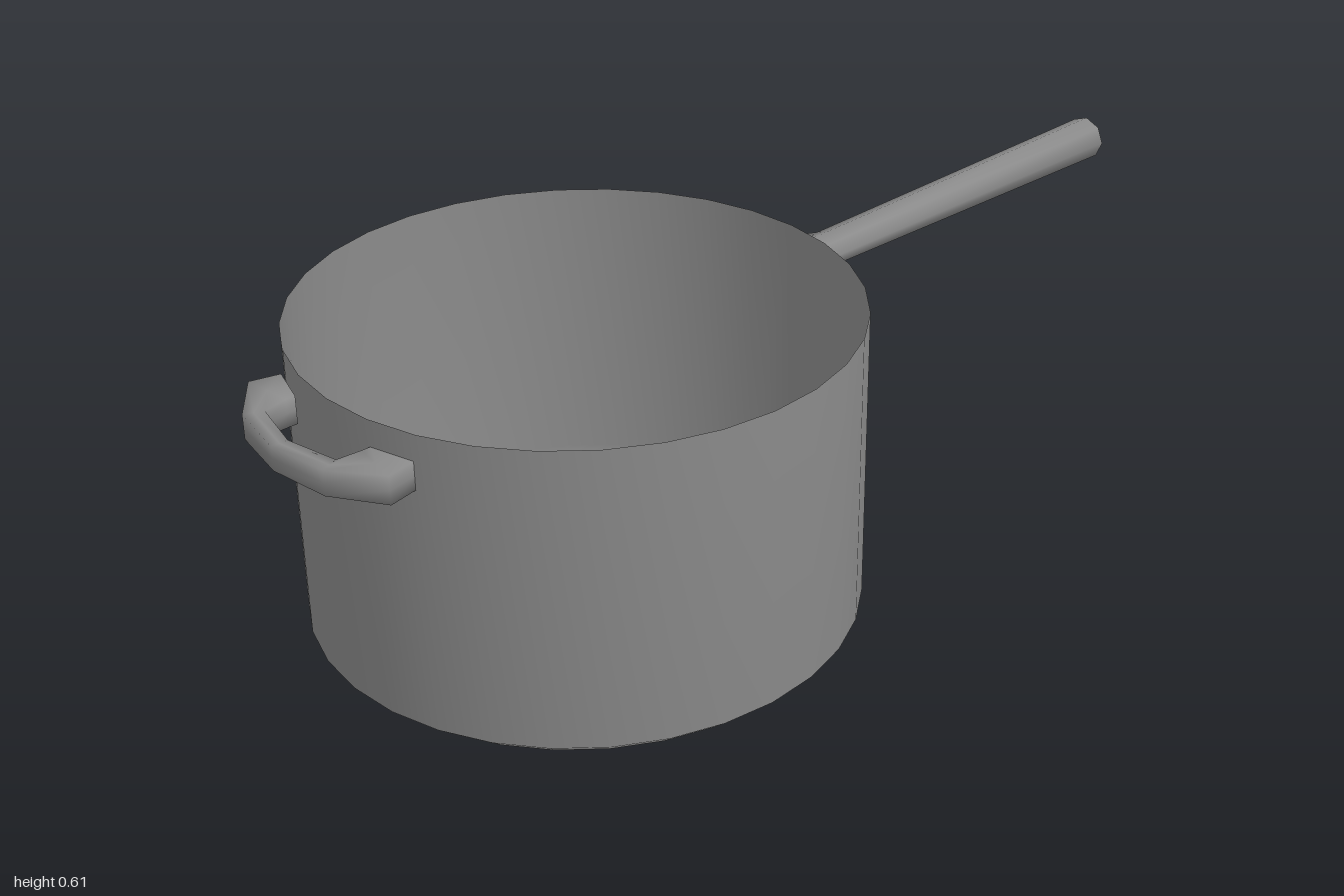
import * as THREE from 'three';

const material = new THREE.MeshStandardMaterial({ color: 0x8a8a8a, side: THREE.DoubleSide });
const SIDES = 8;

function addMesh(parent, name, geometry) {
  const mesh = new THREE.Mesh(geometry, material);
  mesh.name = name;
  parent.add(mesh);
  return mesh;
}

// Skins a row of rings (counterclockwise about the travel direction)
function loft(rings) {
  const index = [];
  for (let i = 0; i < rings.length - 1; i++) {
    for (let j = 0; j < SIDES; j++) {
      const a = i * SIDES + j, b = i * SIDES + (j + 1) % SIDES;
      index.push(a, b, a + SIDES, b, b + SIDES, a + SIDES);
    }
  }
  const geometry = new THREE.BufferGeometry().setFromPoints(rings.flat());
  geometry.setIndex(index);
  geometry.computeVertexNormals();
  return geometry;
}

// Ring of points around a centre, spanned by two half axes; square = true gives a box section
function ring(center, u, v, square) {
  const shape = t => square ? THREE.MathUtils.clamp(t * Math.SQRT2, -1, 1) : t;
  return Array.from({ length: SIDES }, (_, k) => {
    const a = k / SIDES * Math.PI * 2;
    return center.clone()
      .addScaledVector(u, shape(Math.cos(a)))
      .addScaledVector(v, shape(Math.sin(a)));
  });
}

export function createModel() {
  const model = new THREE.Group();
  model.name = 'saucepan';

  // Thin open pot: floor, bevel and wall, smoothly shaded throughout
  const profile = [[0, 0], [0.485, 0], [0.52, 0.03], [0.52, 0.61]];
  const pot = addMesh(model, 'pot',
    new THREE.LatheGeometry(profile.map(p => new THREE.Vector2(...p)), 32));
  pot.position.set(-0.375, 0, -0.002);

  // Long handle: square at the pot, then round and widening, closed at the tip
  // x, y, z, half height, half width, square
  const stations = [
    [0.1455, 0.538, 0.01, 0.035, 0.041, true],
    [0.16, 0.538, 0.01, 0.035, 0.041, true],
    [0.23, 0.539, 0.008, 0.035, 0.039, false],
    [1, 0.562, 0.001, 0.044, 0.047, false],
    [1, 0.562, 0.001, 0, 0, false],
  ];
  addMesh(model, 'longHandle', loft(stations.map(([x, y, z, h, w, square]) =>
    ring(new THREE.Vector3(x, y, z), new THREE.Vector3(0, h, 0), new THREE.Vector3(0, 0, w), square))));

  // Loop handle: inner x, inner z, outer x, outer z, half height; one half, then mirrored
  const half = [
    [-0.882, -0.115, -0.857, -0.2, 0.027],
    [-0.9, -0.115, -0.914, -0.213, 0.027],
    [-0.945, -0.108, -0.98, -0.123, 0.024],
  ];
  const mirrored = half.map(([ix, iz, ox, oz, h]) => [ix, -iz, ox, -oz, h]).reverse();
  const sections = [...half, [-0.968, 0, -1, 0, 0.023], ...mirrored];
  const loop = addMesh(model, 'loopHandle', loft(sections.map(([ix, iz, ox, oz, h]) =>
    ring(
      new THREE.Vector3((ix + ox) / 2, 0, (iz + oz) / 2),
      new THREE.Vector3((ox - ix) / 2, 0, (oz - iz) / 2),
      new THREE.Vector3(0, -h, 0), true))));
  loop.position.set(0, 0.532, -0.012);

  return model;
}
